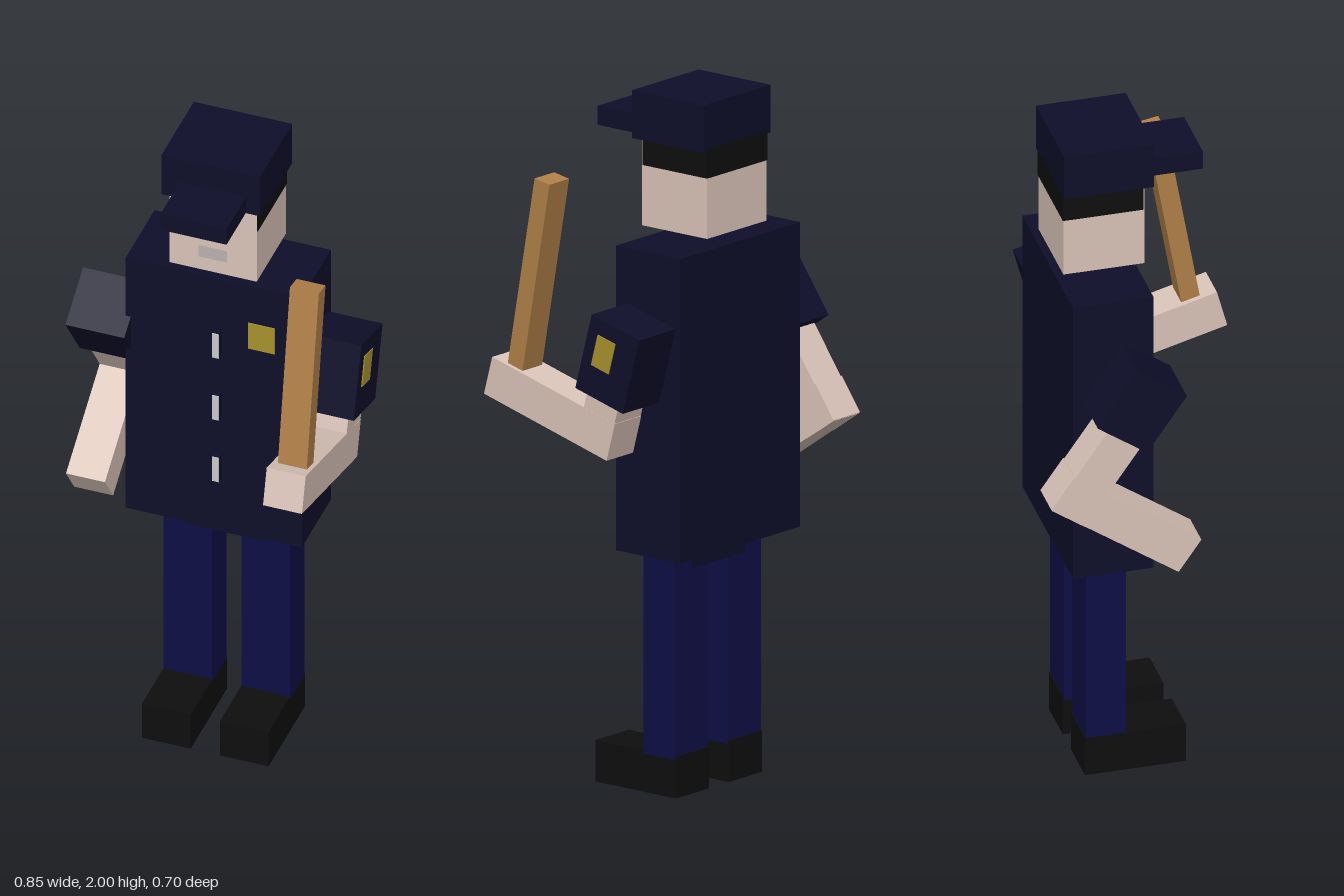
import * as THREE from 'three';

const material = (color) => new THREE.MeshStandardMaterial({ color, flatShading: true });

export function createModel() {
  const model = new THREE.Group();
  model.name = 'officer';

  const navy = material(0x0e0e2a);
  const trouser = material(0x0e0e46);
  const skin = material(0xdac4b9);
  const black = material(0x0e0e0e);
  const wood = material(0xb08048);
  const gold = material(0xa8922c);
  const silver = material(0xbcbcbc);
  const lip = material(0xbab2b0);

  // Box from its size and centre, tilted by degrees around x
  const box = (name, mat, size, center, tilt = 0) => {
    const mesh = new THREE.Mesh(new THREE.BoxGeometry(...size), mat);
    mesh.name = name;
    mesh.position.set(...center);
    mesh.rotation.x = THREE.MathUtils.degToRad(tilt);
    model.add(mesh);
    return mesh;
  };
  // Upright box from its limits on each axis
  const span = (name, mat, [x0, x1], [y0, y1], [z0, z1]) =>
    box(name, mat, [x1 - x0, y1 - y0, z1 - z0], [(x0 + x1) / 2, (y0 + y1) / 2, (z0 + z1) / 2]);

  // Head, hair and cap
  span('head', skin, [-0.13, 0.13], [1.61, 1.87], [-0.238, -0.003]);
  span('hair', black, [-0.132, 0.132], [1.785, 1.87], [-0.24, -0.006]);
  span('mouth', lip, [-0.042, 0.042], [1.655, 1.695], [-0.01, -0.001]);
  span('capCrown', navy, [-0.145, 0.148], [1.862, 2.0], [-0.24, 0.02]);
  span('capBrim', navy, [-0.09, 0.107], [1.865, 1.92], [0.0, 0.178]);

  // Coat with buttons and chest badge
  span('coat', navy, [-0.265, 0.26], [0.7, 1.58], [-0.248, -0.015]);
  for (const y of [0.88, 1.097, 1.315]) {
    span('buttonBase', navy, [0, 0.02], [y, y + 0.085], [-0.02, 0.004]);
    span('button', silver, [0, 0.02], [y, y + 0.085], [0.004, 0.006]);
  }
  span('chestBadge', gold, [0.1, 0.18], [1.36, 1.45], [-0.02, -0.012]);

  // Hips, legs and shoes
  span('hips', navy, [-0.1, 0.135], [0.65, 0.72], [-0.187, -0.066]);
  for (const [x0, x1] of [[-0.172, -0.027], [0.06, 0.205]]) {
    span('leg', trouser, [x0, x1], [0.11, 0.71], [-0.184, -0.069]);
    span('shoe', black, [x0, x1], [0, 0.12], [-0.187, 0.105]);
  }

  // Left arm, bent forward and holding the baton
  box('leftSleeve', navy, [0.17, 0.23, 0.178], [0.335, 1.287, -0.116], -15);
  box('sleeveBadge', gold, [0.008, 0.094, 0.066], [0.419, 1.313, -0.103], -15);
  box('leftElbow', skin, [0.115, 0.2, 0.115], [0.3375, 1.113, -0.063], -15);
  box('leftForearm', skin, [0.116, 0.115, 0.46], [0.3375, 1.114, 0.114], -15);
  box('baton', wood, [0.086, 0.59, 0.055], [0.339, 1.471, 0.203], -10);

  // Right arm, swung back
  box('rightSleeve', navy, [0.175, 0.201, 0.174], [-0.337, 1.307, -0.091], 35);
  box('rightElbow', skin, [0.115, 0.3, 0.115], [-0.3475, 1.106, -0.214], 35);
  box('rightForearm', skin, [0.116, 0.115, 0.45], [-0.3475, 0.937, -0.132], 35);

  return model;
}
